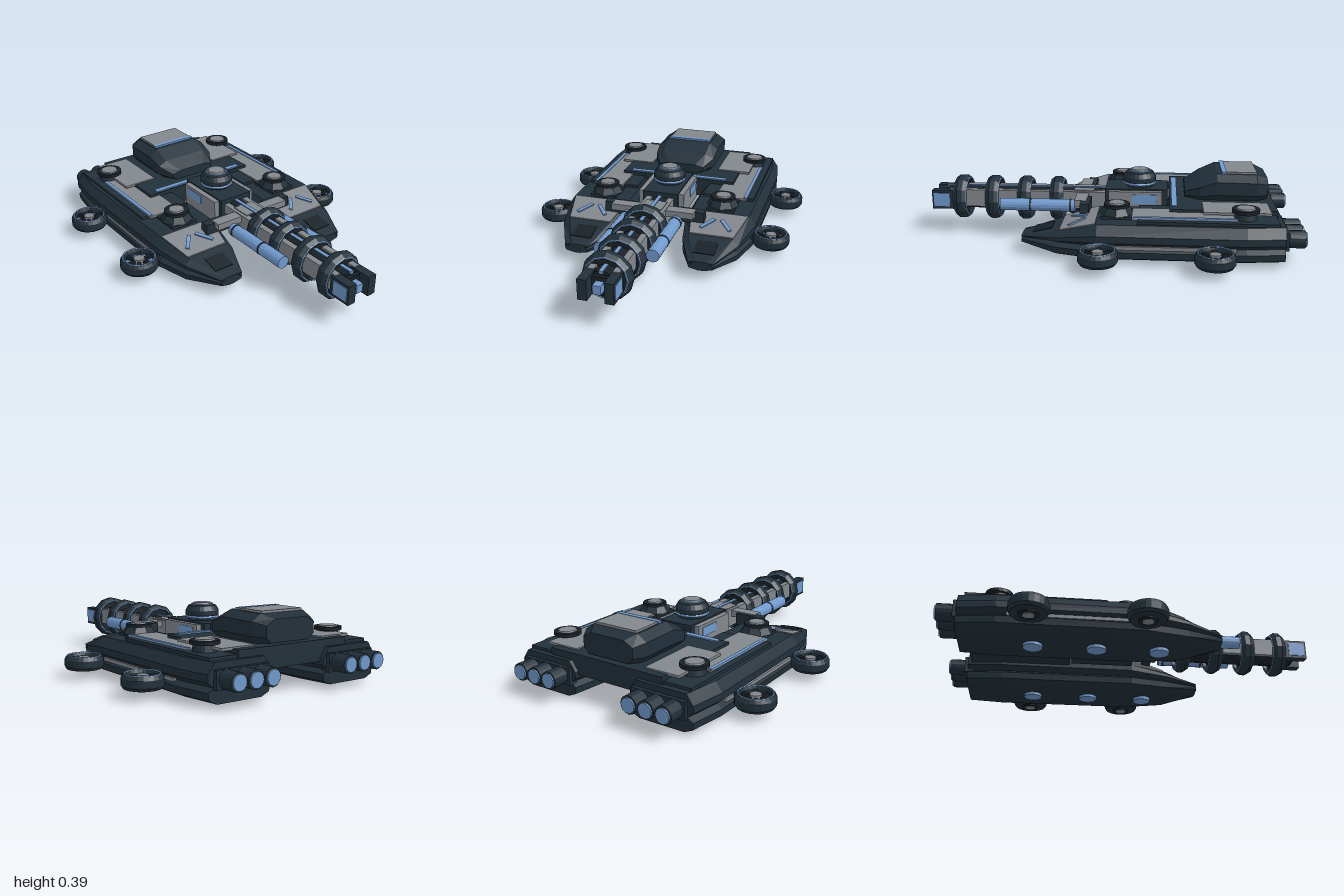
import * as THREE from 'three';

const mat = (name, color) => {
  const m = new THREE.MeshStandardMaterial({ color, flatShading: true });
  m.name = name;
  return m;
};

export function createModel() {
  const root = new THREE.Group();
  root.name = 'hoverGunship';
  const dark = mat('darkArmour', 0x22303a);
  const black = mat('shadowMetal', 0x192127);
  const grey = mat('greyPlate', 0x82878d);
  const blue = mat('blueTrim', 0x7099cc);

  const add = (name, geo, m, x = 0, y = 0, z = 0, parent = root) => {
    const mesh = new THREE.Mesh(geo, m);
    mesh.name = name;
    mesh.position.set(x, y, z);
    parent.add(mesh);
    return mesh;
  };
  // box given by its limits
  const block = (name, m, x0, x1, y0, y1, z0, z1) =>
    add(name, new THREE.BoxGeometry(Math.abs(x1 - x0), y1 - y0, z1 - z0), m, (x0 + x1) / 2, (y0 + y1) / 2, (z0 + z1) / 2);
  const disc = (name, m, r0, r1, h, x, y, z, n = 20, parent = root) =>
    add(name, new THREE.CylinderGeometry(r1, r0, h, n), m, x, y, z, parent);
  const rod = (name, m, r, x, y, z0, z1, n = 14) => {
    const geo = new THREE.CylinderGeometry(r, r, z1 - z0, n).rotateX(Math.PI / 2);
    return add(name, geo, m, x, y, (z0 + z1) / 2);
  };
  const lathe = (pts, n) => new THREE.LatheGeometry(pts.map(p => new THREE.Vector2(...p)), n);

  // skin over cross-sections ordered back to front, each an anticlockwise ring seen from the front
  const loft = rings => {
    const out = [];
    const tri = (...ps) => ps.forEach(p => out.push(...p));
    const n = rings[0].length;
    for (let k = 0; k < rings.length - 1; k++)
      for (let i = 0; i < n; i++) {
        const j = (i + 1) % n, a = rings[k], b = rings[k + 1];
        tri(a[i], a[j], b[i]);
        tri(a[j], b[j], b[i]);
      }
    [rings[0], rings[rings.length - 1]].forEach((r, end) => {
      const c = [0, 1, 2].map(q => r.reduce((sum, p) => sum + p[q], 0) / n);
      for (let i = 0; i < n; i++) {
        const j = (i + 1) % n;
        if (end) tri(c, r[i], r[j]); else tri(c, r[j], r[i]);
      }
    });
    const g = new THREE.BufferGeometry();
    g.setAttribute('position', new THREE.Float32BufferAttribute(out, 3));
    g.computeVertexNormals();
    return g;
  };
  const mirrorRings = (rings, s) =>
    s > 0 ? rings : rings.map(r => r.map(([x, y, z]) => [-x, y, z]).reverse());

  // hull side profile (inset, height) and stations (z, inner x, outer x, deck height, keel scale)
  const side = [[0.05, 0.015], [0.005, 0.035], [0, 0.07], [0.03, 0.09], [0, 0.115], [0, 0.15], [0.035, 0.2]];
  const stations = [[-0.89, 0.17, 0.52, 0.2, 1], [-0.7, 0.15, 0.545, 0.2, 1], [0.04, 0.15, 0.54, 0.2, 1],
    [0.25, 0.19, 0.49, 0.145, 0.95], [0.44, 0.27, 0.4, 0.1, 0.5]];
  const hullRings = stations.map(([z, xi, xo, yt, kb]) => {
    const level = y => y > 0.09 ? 0.09 + (y - 0.09) * (yt - 0.09) / 0.11 : 0.09 - (0.09 - y) * kb;
    return [...side.map(([d, y]) => [xo - d, level(y), z]),
      ...side.slice().reverse().map(([d, y]) => [xi + d, level(y), z])];
  });
  const deckY = z => 0.2 - Math.max(0, z - 0.04) * 0.262;
  const slope = Math.atan(0.262);

  const tireGeo = lathe([[0.001, 0.045], [0.07, 0.04], [0.09, 0.045], [0.1, 0.06], [0.1, 0.095], [0.09, 0.113],
    [0.078, 0.113], [0.073, 0.1], [0.073, 0.075], [0.001, 0.075]], 24);

  for (const s of [1, -1]) {
    add('hull', loft(mirrorRings(hullRings, s)), dark);
    block('sideStrip', grey, s * 0.5, s * 0.532, 0.08, 0.098, -0.65, 0.05);

    // deck plating
    block('rearArmour', dark, s * 0.2, s * 0.49, 0.19, 0.215, -0.86, -0.16);
    block('rearDeckPlate', grey, s * 0.21, s * 0.4, 0.23, 0.243, -0.83, -0.49);
    block('sideDeckPlate', grey, s * 0.28, s * 0.455, 0.21, 0.222, -0.66, -0.13);
    block('deckStripe', blue, s * 0.437, s * 0.456, 0.219, 0.227, -0.65, -0.14);
    const panel = [[0.05, 0.188, 0.5], [0.235, 0.222, 0.459]].map(([z, a, b]) => {
      const y = deckY(z);
      return [[a, y - 0.002, z], [b, y - 0.002, z], [b, y + 0.006, z], [a, y + 0.006, z]];
    });
    add('nosePlate', loft(mirrorRings(panel, s)), grey);
    const hatch = block('noseHatch', black, s * 0.28, s * 0.39, 0, 0.006, 0, 0.1);
    hatch.position.set(s * 0.335, deckY(0.33) + 0.003, 0.33);
    hatch.rotation.x = 0.235;
    for (const [x, turn] of [[0.4, -0.65], [0.3, 0.65]]) {
      const tilt = new THREE.Group();
      tilt.name = 'noseMark';
      tilt.position.set(s * x, deckY(0.15) + 0.009, 0.15);
      tilt.rotation.x = slope;
      add('noseMarkBar', new THREE.BoxGeometry(0.02, 0.008, 0.1), blue, 0, 0, 0, tilt).rotation.y = s * turn * -1;
      root.add(tilt);
    }

    // small turrets
    block('frontTurretBase', dark, s * 0.265, s * 0.415, 0.19, 0.215, -0.13, 0.03);
    disc('frontTurretNeck', dark, 0.09, 0.065, 0.04, s * 0.34, 0.233, -0.05, 8);
    disc('frontTurretRim', black, 0.067, 0.067, 0.016, s * 0.34, 0.257, -0.05);
    disc('frontTurretCap', grey, 0.045, 0.04, 0.01, s * 0.34, 0.267, -0.05);
    disc('rearTurretNeck', dark, 0.06, 0.05, 0.045, s * 0.395, 0.235, -0.7);
    disc('rearTurretRim', black, 0.07, 0.07, 0.018, s * 0.395, 0.257, -0.7);
    disc('rearTurretCap', grey, 0.05, 0.045, 0.008, s * 0.395, 0.268, -0.7);

    // hover wheels
    for (const z of [-0.54, 0.025]) {
      const x = s * 0.625;
      add('wheelShell', tireGeo, dark, x, 0, z);
      disc('wheelDish', blue, 0.072, 0.072, 0.006, x, 0.078, z);
      add('wheelRim', new THREE.TorusGeometry(0.084, 0.005, 6, 24).rotateX(Math.PI / 2), blue, x, 0.112, z);
      for (let i = 0; i < 3; i++)
        add('wheelSpoke', new THREE.BoxGeometry(0.148, 0.02, 0.018), black, x, 0.088, z).rotation.y = i * Math.PI / 3;
      disc('wheelHub', grey, 0.032, 0.028, 0.03, x, 0.092, z, 16);
      disc('wheelUnderRing', black, 0.05, 0.05, 0.01, x, 0.042, z);
      disc('wheelUnderCap', grey, 0.03, 0.03, 0.01, x, 0.039, z, 16);
      block('wheelArm', dark, s * 0.5, s * 0.54, 0.06, 0.1, z - 0.04, z + 0.04);
    }

    // engines and hover jets
    block('engineMount', dark, s * 0.19, s * 0.49, 0.08, 0.17, -0.91, -0.86);
    for (const x of [0.245, 0.34, 0.435]) {
      rod('engine', dark, 0.045, s * x, 0.125, -0.992, -0.89, 16);
      rod('engineGlow', blue, 0.037, s * x, 0.125, -1, -0.99, 16);
    }
    for (const z of [-0.52, -0.2, 0.12]) disc('hoverJet', blue, 0.05, 0.05, 0.02, s * 0.345, 0.01, z, 14);

    // gun cradle sides and canisters
    block('cradlePlate', grey, s * 0.1, s * 0.13, 0.14, 0.265, -0.28, 0.01);
    block('cradleStripe', blue, s * 0.128, s * 0.134, 0.2, 0.25, -0.25, -0.12);
    block('cradleArm', dark, s * 0.12, s * 0.28, 0.17, 0.235, 0.1, 0.15);
    rod('canister', blue, 0.034, s * 0.137, 0.185, 0.19, 0.6);
    for (const z of [0.21, 0.43]) rod('canisterBand', dark, 0.036, s * 0.137, 0.185, z, z + 0.01);
    block('barrelRail', grey, s * 0.045, s * 0.078, 0.15, 0.245, 0.02, 0.9);
    block('muzzleProng', dark, s * 0.042, s * 0.088, 0.135, 0.24, 0.88, 1);
    block('muzzleProngPlate', blue, s * 0.086, s * 0.092, 0.15, 0.225, 0.9, 0.99);
  }

  // centre deck joining the hulls
  block('centreDeck', dark, -0.34, 0.34, 0.13, 0.236, -0.87, -0.32);
  block('deckFrontStripe', blue, -0.29, 0.29, 0.234, 0.243, -0.36, -0.33);

  // command tower
  const tower = [[-0.84, 0.15, 0.24, 0.35], [-0.78, 0.185, 0.235, 0.372], [-0.57, 0.185, 0.235, 0.376],
    [-0.48, 0.18, 0.235, 0.335], [-0.4, 0.135, 0.24, 0.29]].map(([z, w, b, t]) => {
    const c = (t - b) * 0.25;
    return [[-w + 0.03, b, z], [w - 0.03, b, z], [w, b + c, z], [w, t - c, z],
      [w - 0.05, t, z], [-w + 0.05, t, z], [-w, t - c, z], [-w, b + c, z]];
  });
  add('tower', loft(tower), dark);
  block('towerRoofPlate', grey, -0.125, 0.125, 0.37, 0.384, -0.78, -0.6);
  block('towerStripe', blue, -0.13, 0.13, 0.374, 0.386, -0.62, -0.595);

  // gun cradle and its turret
  block('cradle', dark, -0.1, 0.1, 0.12, 0.272, -0.31, 0.03);
  add('cradleTurret', lathe([[0.001, 0.27], [0.075, 0.27], [0.08, 0.29], [0.09, 0.3], [0.09, 0.325],
    [0.075, 0.35], [0.05, 0.358], [0.001, 0.358]], 24), dark, 0, 0, -0.155);
  add('turretRing', new THREE.TorusGeometry(0.083, 0.009, 6, 24).rotateX(Math.PI / 2), blue, 0, 0.29, -0.155);
  add('turretTopRing', new THREE.TorusGeometry(0.056, 0.005, 6, 24).rotateX(Math.PI / 2), blue, 0, 0.356, -0.155);
  disc('turretCap', grey, 0.05, 0.045, 0.01, 0, 0.361, -0.155);
  block('crossbar', grey, -0.23, 0.23, 0.205, 0.24, 0.12, 0.185);
  block('crossbarCentre', grey, -0.06, 0.06, 0.2, 0.25, 0.095, 0.205);

  // barrel with collars
  rod('barrel', black, 0.066, 0, 0.187, 0, 0.92, 12);
  block('barrelSpine', blue, -0.01, 0.01, 0.24, 0.255, 0.03, 0.93);
  block('muzzleCore', black, -0.045, 0.045, 0.14, 0.23, 0.9, 0.94);
  block('muzzleGlow', blue, -0.02, 0.02, 0.165, 0.21, 0.93, 0.985);
  const collar = lathe([[0.1, -0.035], [0.11, -0.035], [0.125, -0.014], [0.125, 0.014], [0.11, 0.035],
    [0.1, 0.035], [0.1, -0.035]], 12).rotateX(Math.PI / 2);
  for (const z of [0.3, 0.48, 0.66, 0.84]) {
    add('barrelCollar', collar, dark, 0, 0.187, z);
    rod('collarWeb', black, 0.102, 0, 0.187, z - 0.015, z + 0.015, 12);
    for (const e of [-0.034, 0.034])
      add('collarTrim', new THREE.TorusGeometry(0.107, 0.004, 5, 12).rotateZ(Math.PI / 2), blue, 0, 0.187, z + e);
  }
  return root;
}
